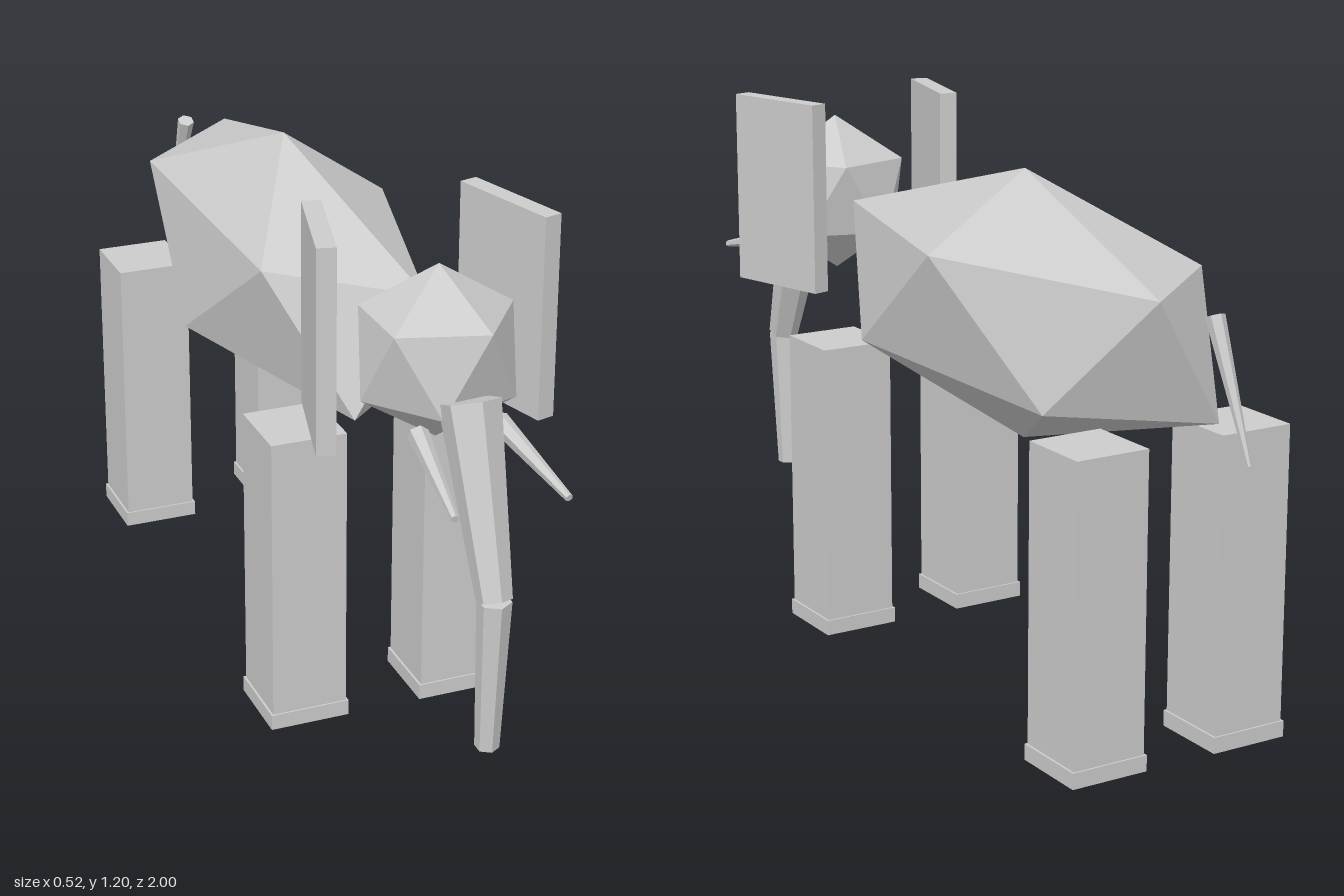
import * as THREE from 'three';

const hide = new THREE.MeshStandardMaterial({ color: 0xcccccc });
hide.name = 'pale grey';
hide.flatShading = true;

// Icosahedron standing on a point, as in a low-poly ball: unit radius, flat faces
function facetedBall(rx, ry, rz) {
  const h = 1 / Math.sqrt(5), r = 2 * h;
  const points = [0, 1, 0, 0, -1, 0];
  const faces = [];
  for (let k = 0; k < 5; k++) {
    const a = (k * 2 * Math.PI) / 5, b = a + Math.PI / 5;
    points.push(r * Math.cos(a), h, r * Math.sin(a), r * Math.cos(b), -h, r * Math.sin(b));
    const n = (k + 1) % 5;
    const up = 2 + 2 * k, low = up + 1, up2 = 2 + 2 * n, low2 = up2 + 1;
    faces.push(0, up2, up, up, up2, low, low, up2, low2, 1, low, low2);
  }
  const geo = new THREE.PolyhedronGeometry(points, faces, 1, 0);
  geo.scale(rx, ry, rz);
  geo.computeVertexNormals();
  return geo;
}

// Six-sided tapered limb between two points
function taper(from, to, rFrom, rTo) {
  const a = new THREE.Vector3(...from), b = new THREE.Vector3(...to);
  const axis = a.clone().sub(b);
  const geo = new THREE.CylinderGeometry(rFrom, rTo, axis.length(), 6);
  geo.applyQuaternion(new THREE.Quaternion().setFromUnitVectors(
    new THREE.Vector3(0, 1, 0), axis.normalize()));
  const mid = a.add(b).multiplyScalar(0.5);
  return geo.translate(mid.x, mid.y, mid.z);
}

export function createModel() {
  const model = new THREE.Group();
  model.name = 'elephant';

  const add = (name, geo, x = 0, y = 0, z = 0) => {
    const mesh = new THREE.Mesh(geo, hide);
    mesh.name = name;
    mesh.position.set(x, y, z);
    model.add(mesh);
    return mesh;
  };

  // Body, with the upper corner of the chest pushed slightly forward
  const bodyGeo = facetedBall(0.266, 0.295, 0.706);
  const p = bodyGeo.attributes.position;
  for (let i = 0; i < p.count; i++) {
    if (p.getZ(i) > 0.5 && p.getY(i) > 0) p.setZ(i, p.getZ(i) + 0.02);
  }
  bodyGeo.computeVertexNormals();
  add('body', bodyGeo, 0, 0.835, -0.198);

  // Head
  add('head', facetedBall(0.181, 0.184, 0.171), 0, 0.947, 0.643);

  // Trunk in two segments
  add('upperTrunk', taper([0, 0.905, 0.797], [0, 0.54, 0.933], 0.062, 0.036));
  add('lowerTrunk', taper([0, 0.54, 0.933], [0, 0.204, 0.92], 0.035, 0.025));

  // Tail
  add('tail', taper([0, 0.947, -0.875], [0, 0.675, -0.994], 0.02, 0.005));

  // Paired parts
  for (const [side, s] of [['left', 1], ['right', -1]]) {
    // Ear slab, flaring outwards to the front
    const ear = add(side + 'Ear', new THREE.BoxGeometry(0.04, 0.435, 0.26), s * 0.204, 0.982, 0.528);
    ear.rotation.y = s * THREE.MathUtils.degToRad(15);

    // Tusk
    add(side + 'Tusk', taper([s * 0.085, 0.828, 0.75], [s * 0.118, 0.769, 0.997], 0.022, 0.008));

    // Legs with slightly wider feet
    for (const [end, z] of [['Front', 0.314], ['Back', -0.707]]) {
      add(side + end + 'Leg', new THREE.BoxGeometry(0.168, 0.64, 0.17), s * 0.173, 0.355, z);
      add(side + end + 'Foot', new THREE.BoxGeometry(0.178, 0.035, 0.178), s * 0.173, 0.0175, z);
    }
  }

  return model;
}
